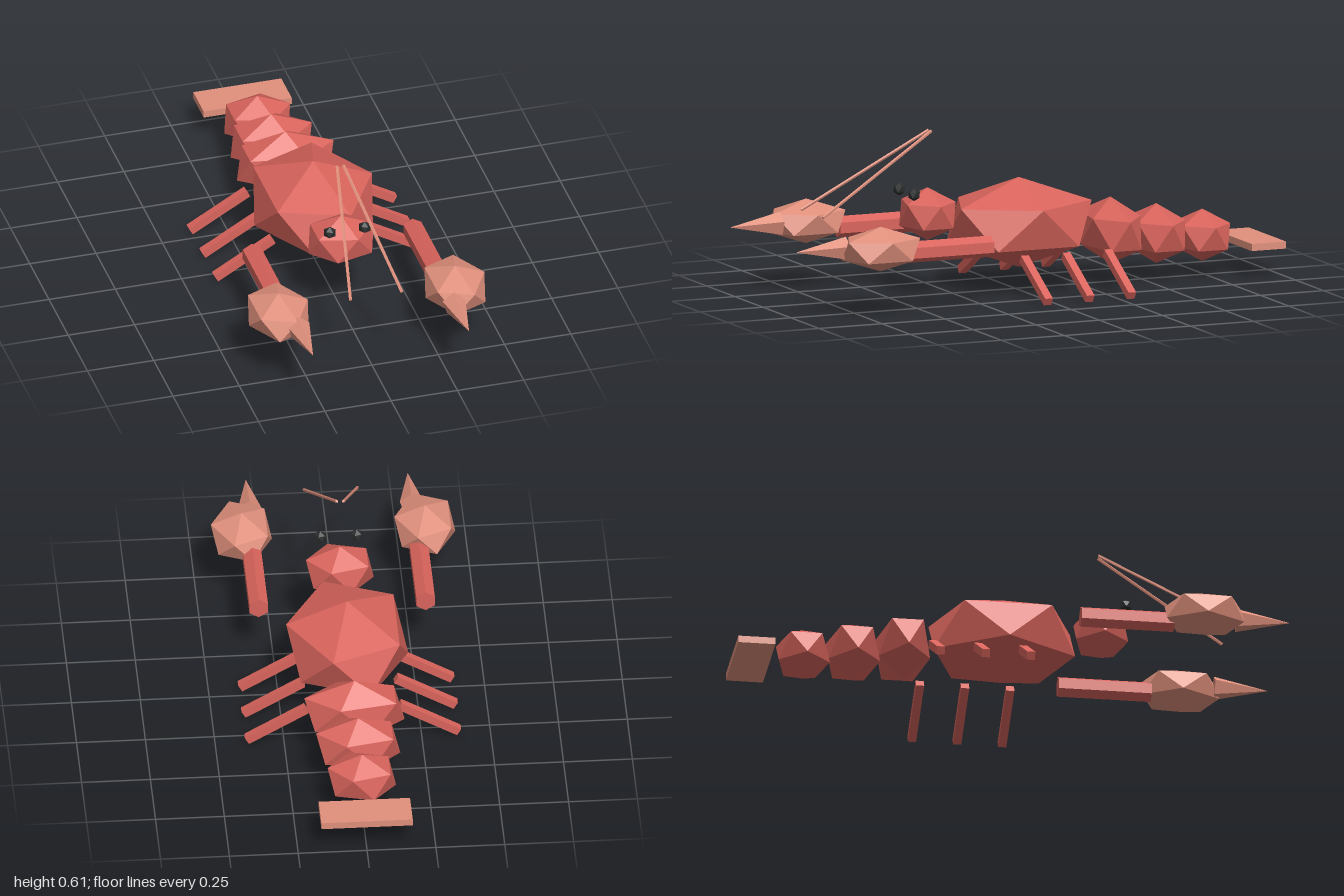
import * as THREE from 'three';

const material = (color) => new THREE.MeshStandardMaterial({ color, flatShading: true });

export function createModel() {
  const model = new THREE.Group();
  model.name = 'lobster';

  const red = material(0xd9645c);
  const salmon = material(0xe0907c);
  const black = material(0x2a2d2d);

  function add(name, geometry, mat, x, y, z) {
    const mesh = new THREE.Mesh(geometry, mat);
    mesh.name = name;
    mesh.position.set(x, y, z);
    model.add(mesh);
    return mesh;
  }

  // Stretched icosahedron standing on one of its corners
  function gem(rx, ry, rz) {
    const geometry = new THREE.IcosahedronGeometry(1, 0);
    geometry.rotateZ(-Math.atan(2 / (1 + Math.sqrt(5))));
    geometry.scale(rx, ry, rz);
    geometry.computeVertexNormals();
    return geometry;
  }

  // Body and head
  add('body', gem(0.248, 0.165, 0.304), red, 0, 0.245, -0.014);
  add('head', gem(0.138, 0.097, 0.112), red, 0, 0.3, 0.348);

  // Tail segments shrink towards the back, ending in a flat fan
  const segments = [[0.204, 0.123, 0.19], [0.171, 0.11, 0.166], [0.139, 0.096, 0.147]];
  segments.forEach(([rx, ry, y], i) => {
    add(`tailSegment${i + 1}`, gem(rx, ry, 0.11), red, 0, y, -0.377 - i * 0.182);
  });
  add('tailFan', new THREE.BoxGeometry(0.332, 0.026, 0.136), salmon, 0, 0.117, -0.932);

  for (const [side, s] of [['left', 1], ['right', -1]]) {
    // Arm, claw and pointed claw tip
    const arm = new THREE.CylinderGeometry(0.039, 0.039, 0.34, 6).rotateX(Math.PI / 2);
    add(`${side}Arm`, arm, red, s * 0.303, 0.22, 0.402);
    add(`${side}Claw`, gem(0.124, 0.082, 0.166), salmon, s * 0.333, 0.245, 0.681);

    // The extra half turn puts a corner of the five-sided base on top
    const tip = new THREE.ConeGeometry(0.045, 0.198, 5).rotateY(Math.PI).rotateX(Math.PI / 2);
    add(`${side}ClawTip`, tip, salmon, s * 0.294, 0.248, 0.901);

    // Three legs sloping outwards to the ground
    for (let i = 0; i < 3; i++) {
      const leg = add(`${side}Leg${i + 1}`, new THREE.BoxGeometry(0.25, 0.03, 0.03), red,
        s * 0.277, 0.077, 0.04 - i * 0.165);
      leg.rotation.z = -s * Math.PI / 6;
    }

    // Eye
    add(`${side}Eye`, gem(0.024, 0.024, 0.024), black, s * 0.066, 0.386, 0.43);

    // Antenna, a straight rod between two points
    const low = new THREE.Vector3(s * 0.097, 0.331, 0.805);
    const high = new THREE.Vector3(s * 0.012, 0.605, 0.338);
    const rod = new THREE.CylinderGeometry(0.006, 0.006, low.distanceTo(high), 5);
    const middle = low.clone().lerp(high, 0.5);
    const antenna = add(`${side}Antenna`, rod, salmon, middle.x, middle.y, middle.z);
    antenna.quaternion.setFromUnitVectors(
      new THREE.Vector3(0, 1, 0), high.clone().sub(low).normalize());
  }

  return model;
}
